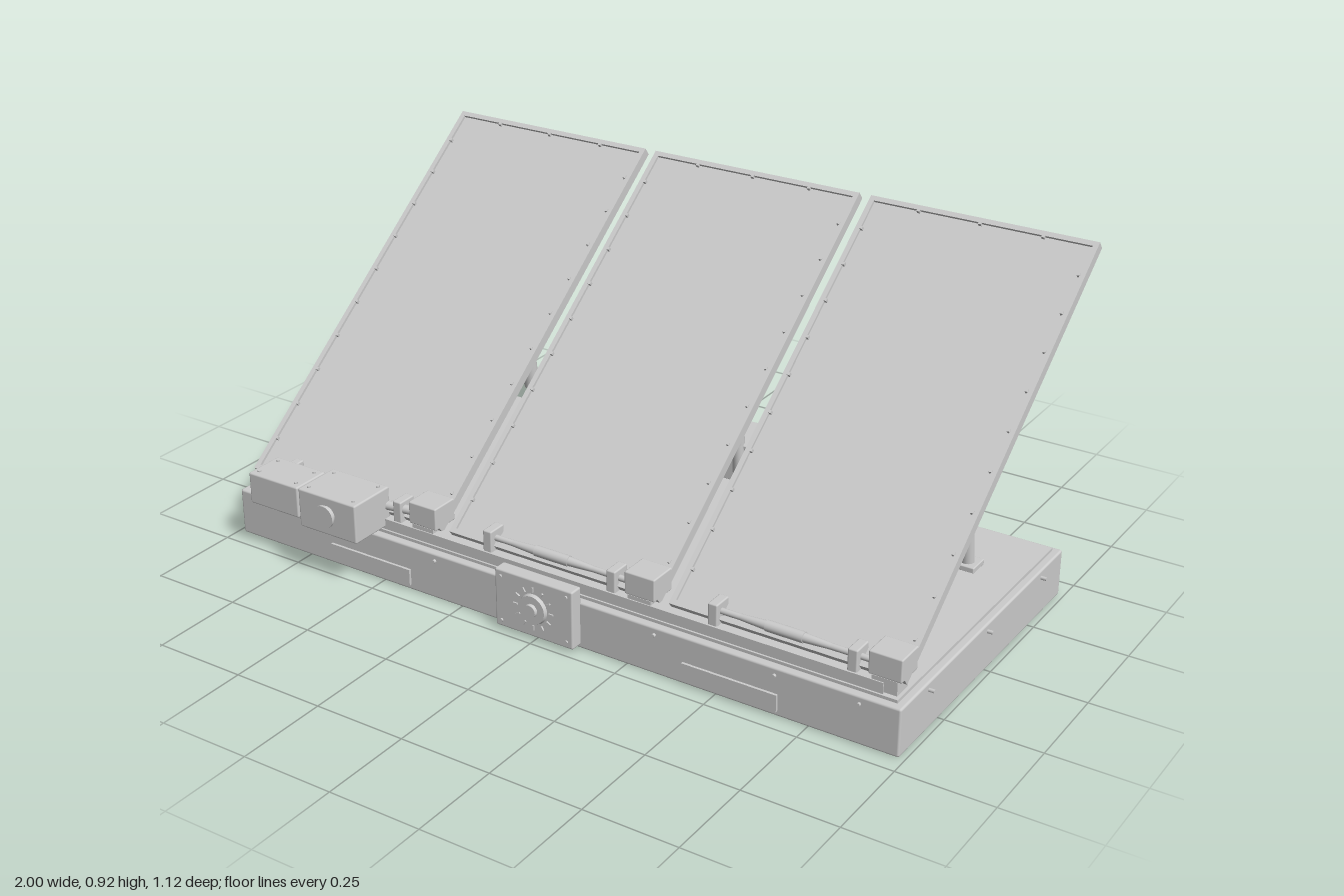
import * as THREE from 'three';
import { RoundedBoxGeometry } from 'three/addons/geometries/RoundedBoxGeometry.js';

const grey = new THREE.MeshStandardMaterial({ color: 0xcccccc });

function add(parent, name, geometry, x = 0, y = 0, z = 0) {
  const mesh = new THREE.Mesh(geometry, grey);
  mesh.name = name;
  mesh.position.set(x, y, z);
  parent.add(mesh);
  return mesh;
}

// Box given by its extents on each axis, with optional rounded edges
function box(parent, name, [x0, x1], [y0, y1], [z0, z1], r = 0) {
  const s = [x1 - x0, y1 - y0, z1 - z0];
  const g = r ? new RoundedBoxGeometry(...s, 2, r) : new THREE.BoxGeometry(...s);
  return add(parent, name, g, (x0 + x1) / 2, (y0 + y1) / 2, (z0 + z1) / 2);
}

// Cylinder between two points
function rod(parent, name, a, b, r, r2 = r, sides = 20) {
  const p = new THREE.Vector3(...a), q = new THREE.Vector3(...b);
  const dir = q.clone().sub(p);
  const mesh = add(parent, name, new THREE.CylinderGeometry(r2, r, dir.length(), sides));
  mesh.position.copy(p).add(q).multiplyScalar(0.5);
  mesh.quaternion.setFromUnitVectors(new THREE.Vector3(0, 1, 0), dir.normalize());
  return mesh;
}

function group(parent, name) {
  const g = new THREE.Group();
  g.name = name;
  parent.add(g);
  return g;
}

// Base tray with deck, front rail, access covers and side screws
function makeBase(root) {
  const g = group(root, 'base');
  box(g, 'tray', [-0.985, 0.985], [0, 0.128], [-0.44, 0.45], 0.006);
  box(g, 'deck', [-0.965, 0.965], [0.12, 0.136], [-0.42, 0.43]);
  box(g, 'frontRail', [-0.925, 0.925], [0.136, 0.165], [0.365, 0.425]);
  for (const s of [-1, 1]) {
    box(g, 'accessCover', [s * 0.54 - 0.13, s * 0.54 + 0.13], [0.015, 0.06], [0.448, 0.457]);
    for (const z of [-0.31, 0, 0.31])
      rod(g, 'sideScrew', [s * 0.98, 0.108, z], [s, 0.108, z], 0.005, 0.005, 10);
    for (const x of [-0.88, -0.66, -0.33, 0.33, 0.66, 0.88])
      rod(g, 'edgeScrew', [x, 0.108, s * 0.438], [x, 0.108, s > 0 ? 0.457 : -0.447], 0.005, 0.005, 10);
  }
}

// Tilted panel: local y runs up the slope, local z is the face normal
function makePanel(root, cx) {
  const W = 0.312, L = 1.208, lip = 0.014, T = 0.026;
  const g = group(root, 'panel');
  g.position.set(cx, 0.18, 0.41);
  g.rotation.x = -THREE.MathUtils.degToRad(52.2);

  const rect = (c, x, y0, y1) => {
    c.moveTo(-x, y0); c.lineTo(x, y0); c.lineTo(x, y1); c.lineTo(-x, y1); c.closePath();
    return c;
  };
  const outline = rect(new THREE.Shape(), W, 0, L);
  outline.holes.push(rect(new THREE.Path(), W - lip, lip, L - lip));
  add(g, 'panelFrame', new THREE.ExtrudeGeometry(outline, { depth: T, bevelEnabled: false }), 0, 0, -T);
  box(g, 'panelSheet', [-W + lip, W - lip], [lip, L - lip], [-T + 0.003, -0.007]);
  box(g, 'backSpine', [-0.028, 0.028], [0.1, 1.16], [-0.04, -T + 0.004]);
  box(g, 'junctionBox', [-0.09, 0.09], [0.1, 0.165], [-0.062, -T + 0.002], 0.004);

  // Clips holding the sheet
  const clip = (x, y) => box(g, 'clip', [x - 0.004, x + 0.004], [y - 0.004, y + 0.004], [-0.009, 0.002]);
  for (let i = 0; i < 10; i++)
    for (const s of [-1, 1]) clip(s * (W - 0.016), 0.1 + i * 0.112);
  for (const x of [-0.17, 0, 0.17]) for (const y of [0.016, L - 0.016]) clip(x, y);
}

// Hinge shaft with brackets, gearbox and cable plugs for one panel
function makeHinge(root, cx) {
  const g = group(root, 'hinge');
  const y = 0.198, z = 0.398;
  rod(g, 'hingeShaft', [cx - 0.2, y, z], [cx + 0.25, y, z], 0.008);
  rod(g, 'shaftSleeve', [cx - 0.05, y, z], [cx + 0.05, y, z], 0.014);
  for (const s of [-1, 1]) {
    rod(g, 'shaftTaper', [cx + s * 0.05, y, z], [cx + s * 0.12, y, z], 0.012, 0.008);
    box(g, 'hingeBracket', [cx + s * 0.185 - 0.013, cx + s * 0.185 + 0.013], [0.16, 0.222], [0.365, 0.42], 0.004);
  }
  box(g, 'gearbox', [cx + 0.226, cx + 0.312], [0.175, 0.236], [0.343, 0.422], 0.004);
  box(g, 'gearboxFoot', [cx + 0.236, cx + 0.302], [0.14, 0.176], [0.368, 0.422]);
  for (const dx of [-0.066, -0.022, 0.022, 0.066]) {
    rod(g, 'cableArm', [cx + dx, 0.176, 0.385], [cx + dx, 0.176, 0.305], 0.006, 0.006, 12);
    rod(g, 'cablePlug', [cx + dx, 0.155, 0.305], [cx + dx, 0.198, 0.305], 0.009, 0.009, 12);
  }
}

// Telescopic leg behind a panel
function makeStrut(root, x) {
  const g = group(root, 'supportStrut');
  const foot = [x, 0.148, -0.218], top = [x, 0.578, -0.16];
  const at = t => foot.map((v, i) => v + (top[i] - v) * t);
  box(g, 'strutFoot', [x - 0.031, x + 0.031], [0.134, 0.15], [-0.25, -0.189], 0.003);
  rod(g, 'lowerTube', foot, at(0.42), 0.018, 0.015);
  rod(g, 'collar', at(0.38), at(0.66), 0.02);
  rod(g, 'upperRod', at(0.64), top, 0.01);
  box(g, 'strutHead', [x - 0.017, x + 0.017], [0.568, 0.59], [-0.176, -0.146], 0.003);
}

// Drive motor and gear housing at the front corner
function makeDrive(root) {
  const g = group(root, 'driveUnit');
  box(g, 'motorHousing', [-0.89, -0.725], [0.142, 0.23], [0.4, 0.512], 0.005);
  box(g, 'gearHousing', [-0.695, -0.508], [0.142, 0.25], [0.403, 0.54], 0.005);
  rod(g, 'coupling', [-0.73, 0.19, 0.45], [-0.69, 0.19, 0.45], 0.018);
  rod(g, 'outputShaft', [-0.51, 0.198, 0.41], [-0.43, 0.198, 0.398], 0.012);
  rod(g, 'shaftCap', [-0.602, 0.2, 0.535], [-0.602, 0.2, 0.551], 0.026);
  rod(g, 'capFlange', [-0.602, 0.2, 0.548], [-0.602, 0.2, 0.555], 0.031);
  for (const [x0, x1, y, z0, z1] of [[-0.87, -0.745, 0.23, 0.42, 0.492], [-0.675, -0.528, 0.25, 0.423, 0.52]])
    for (const x of [x0, x1]) for (const z of [z0, z1])
      rod(g, 'housingScrew', [x, y - 0.002, z], [x, y + 0.004, z], 0.005, 0.005, 10);
}

// Control box with a dial and ring of tick marks
function makeControl(root) {
  const g = group(root, 'controlBox');
  box(g, 'controlCase', [-0.116, 0.116], [0.01, 0.17], [0.445, 0.483], 0.005);
  rod(g, 'dial', [0, 0.09, 0.48], [0, 0.09, 0.492], 0.042, 0.038, 32);
  rod(g, 'dialKnob', [0, 0.09, 0.49], [0, 0.09, 0.502], 0.018);
  for (let i = 0; i < 12; i++) {
    const a = i * Math.PI / 6;
    const tick = add(g, 'tickMark', new THREE.BoxGeometry(0.004, 0.013, 0.006),
      Math.sin(a) * 0.053, 0.09 + Math.cos(a) * 0.053, 0.484);
    tick.rotation.z = -a;
  }
  for (const x of [-0.098, 0.098]) for (const y of [0.028, 0.152])
    rod(g, 'caseScrew', [x, y, 0.48], [x, y, 0.487], 0.005, 0.005, 10);
}

// Storage box on the rear of the deck
function makeRearBox(root) {
  const g = group(root, 'rearBox');
  box(g, 'rearBoxBody', [-0.268, 0.268], [0.134, 0.24], [-0.434, -0.301], 0.004);
  box(g, 'rearBoxLid', [-0.276, 0.276], [0.239, 0.25], [-0.44, -0.295], 0.003);
}

export function createModel() {
  const root = new THREE.Group();
  root.name = 'tiltingPanelArray';
  makeBase(root);
  for (const cx of [-0.657, 0, 0.657]) {
    makePanel(root, cx);
    makeHinge(root, cx);
    for (const s of [-1, 1]) makeStrut(root, cx + s * 0.168);
  }
  makeDrive(root);
  makeControl(root);
  makeRearBox(root);
  return root;
}
